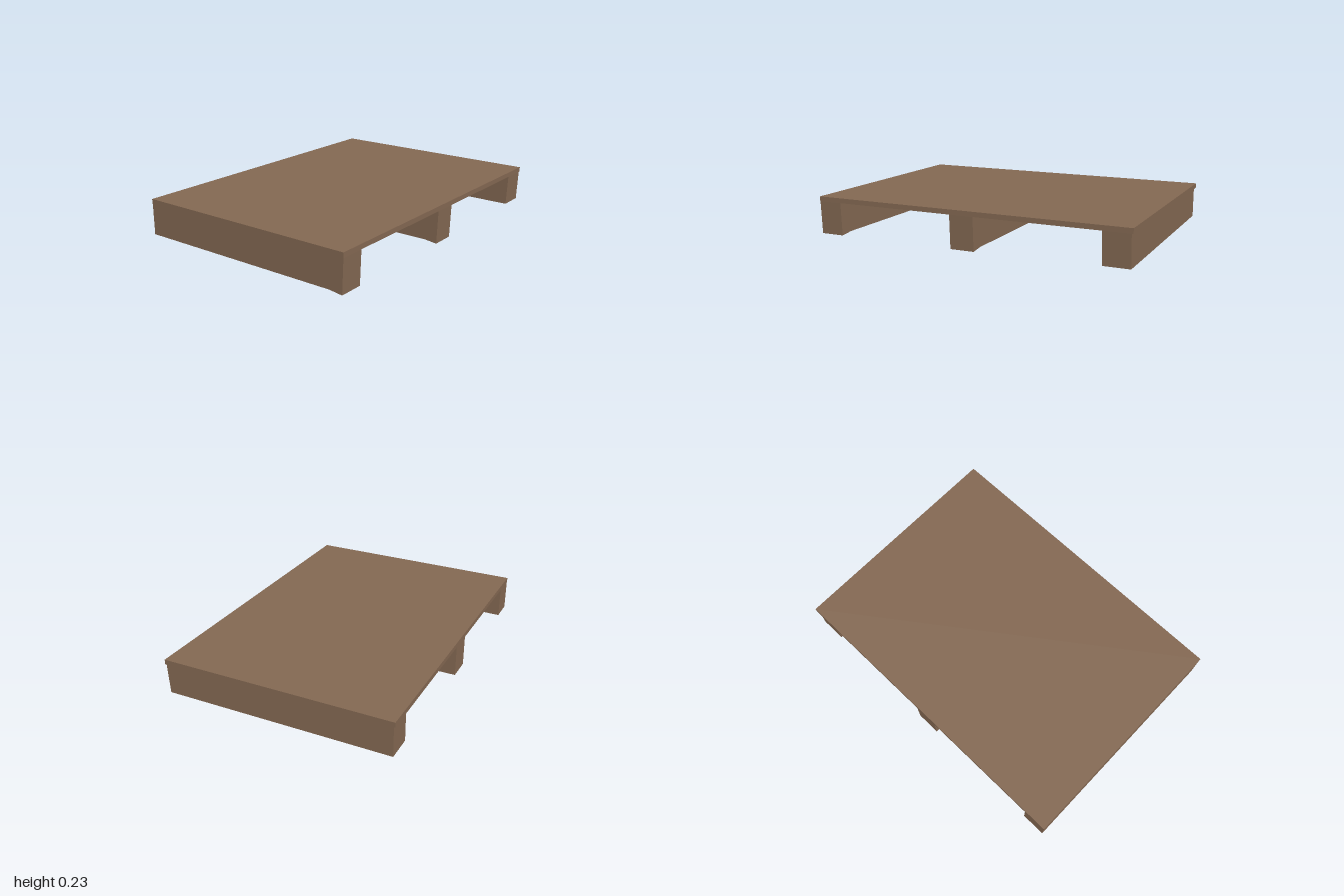
import * as THREE from 'three';

const TOP = 0.205;   // underside of the deck
const WALL = 0.012;  // runner wall thickness

const rect = (target, x0, x1, z0, z1) => {
  target.moveTo(x0, z0);
  target.lineTo(x1, z0);
  target.lineTo(x1, z1);
  target.lineTo(x0, z1);
  target.closePath();
  return target;
};

// Hollow runner: thin walls, solid blocks at the middle and the front, open below
function runnerGeometry(x0, x1, back, bottom, lip) {
  const front = 0.722;
  const plan = new THREE.Shape();
  plan.moveTo(x0, back);
  plan.lineTo(x1, back);
  plan.lineTo(x1, 0.63);
  plan.lineTo(x1, front);
  plan.lineTo(x0, front);
  plan.lineTo(x0, 0.63);
  plan.closePath();
  for (const [z0, z1] of [[back + WALL, -0.08], [0.07, 0.58]]) {
    plan.holes.push(rect(new THREE.Path(), x0 + WALL, x1 - WALL, z0, z1));
  }
  const geo = new THREE.ExtrudeGeometry(plan, { depth: TOP - bottom, bevelEnabled: false });
  geo.rotateX(Math.PI / 2);
  geo.translate(0, TOP, 0);

  // Pull the lower front edge down and slightly inward
  const p = geo.attributes.position;
  for (let i = 0; i < p.count; i++) {
    if (p.getZ(i) > 0.7 && p.getY(i) < 0.1) {
      p.setY(i, lip);
      p.setZ(i, 0.713);
    }
  }
  geo.computeVertexNormals();
  return geo;
}

export function createModel() {
  const group = new THREE.Group();
  const wood = new THREE.MeshStandardMaterial({ color: 0x826751 });
  wood.name = 'brown wood';

  // Flat deck
  const deck = new THREE.Mesh(new THREE.BoxGeometry(2, 0.03, 1.446), wood);
  deck.name = 'deck';
  deck.position.y = TOP + 0.015;
  group.add(deck);

  // Three runners from front to back
  const runners = [
    ['rightRunner', -0.999, -0.848, -0.722, 0.01, 0],
    ['middleRunner', -0.085, 0.066, -0.722, 0.01, 0],
    ['leftRunner', 0.83, 0.99, -0.712, 0.012, 0.012],
  ];
  for (const [name, ...size] of runners) {
    const runner = new THREE.Mesh(runnerGeometry(...size), wood);
    runner.name = name;
    group.add(runner);
  }
  return group;
}
